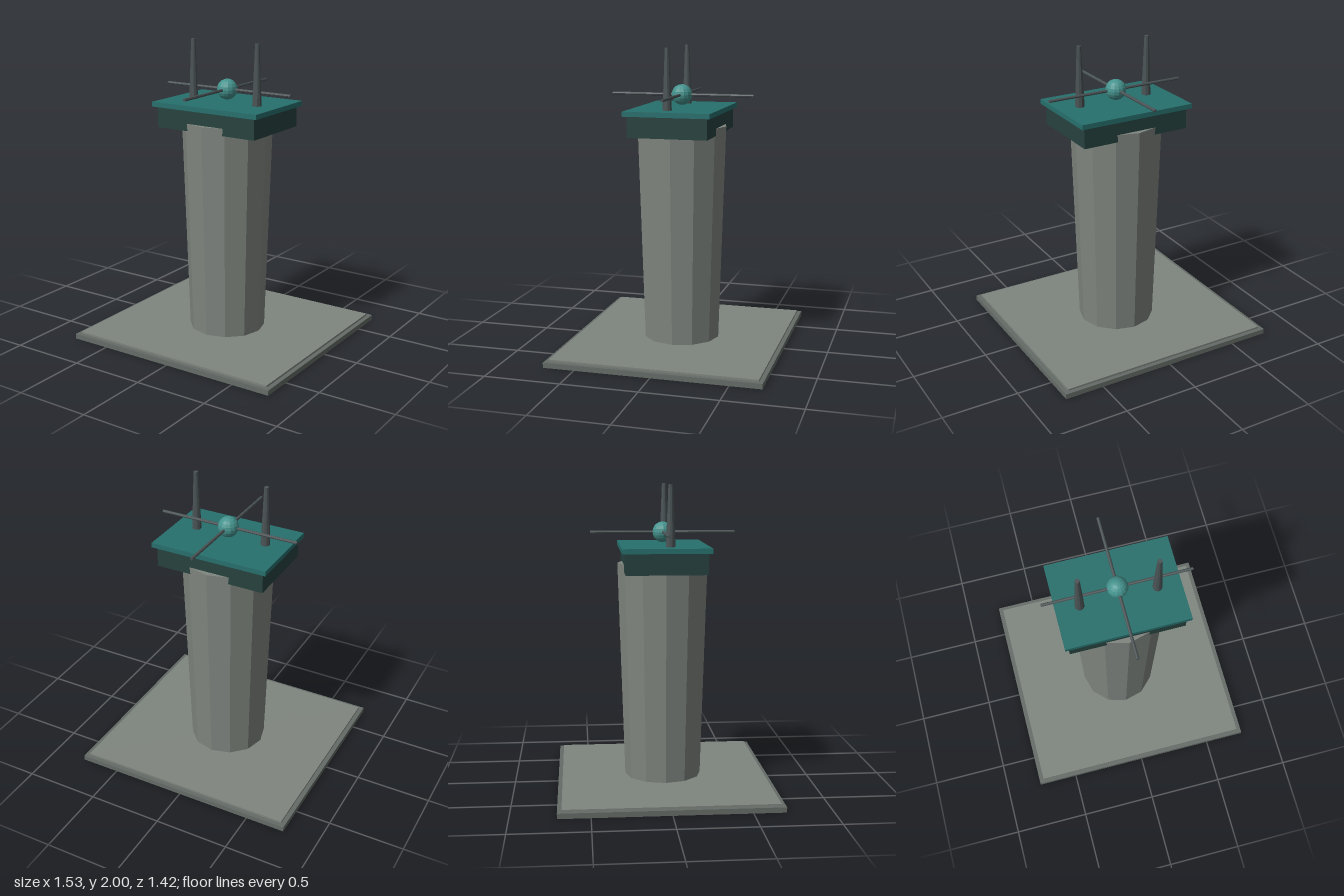
import * as THREE from 'three';

const paint = (color) => new THREE.MeshStandardMaterial({ color, flatShading: true });

export function createModel() {
  const model = new THREE.Group();
  const stone = paint(0x7f857f);
  const darkStone = paint(0x656c67);
  const teal = paint(0x26706d);
  const darkTeal = paint(0x26423f);
  const lightTeal = paint(0x45938e);
  const metal = paint(0x4a5355);

  const add = (name, geometry, material, x, y, z) => {
    const mesh = new THREE.Mesh(geometry, material);
    mesh.name = name;
    mesh.position.set(x, y, z);
    model.add(mesh);
    return mesh;
  };
  // Box standing between two heights
  const slab = (name, width, depth, y0, y1, material) =>
    add(name, new THREE.BoxGeometry(width, y1 - y0, depth), material, 0, (y0 + y1) / 2, 0);

  // Stepped base
  slab('basePlinth', 1.53, 1.416, 0, 0.034, darkStone);
  slab('baseTop', 1.47, 1.36, 0.034, 0.047, stone);

  // Twelve-sided column, flaring upward through the head
  add('column', new THREE.CylinderGeometry(0.3, 0.255, 1.436, 12), stone, 0, 0.765, 0);

  // Head and its roof plate
  slab('head', 0.745, 0.525, 1.435, 1.572, darkTeal);
  slab('roofPlate', 0.8, 0.57, 1.572, 1.604, teal);

  // Pair of tapered masts
  for (const side of [-1, 1]) {
    add(side > 0 ? 'leftMast' : 'rightMast',
      new THREE.CylinderGeometry(0.015, 0.031, 0.4, 10), metal, side * 0.247, 1.8, 0.031);
  }

  // Hub with crossed rods
  const hubY = 1.685;
  add('hub', new THREE.SphereGeometry(0.068, 14, 10), lightTeal, 0, hubY, 0);
  const rod = new THREE.CylinderGeometry(0.01, 0.01, 0.956, 8);
  add('crossRod', rod, metal, 0, hubY, 0).rotation.z = Math.PI / 2;
  add('lengthRod', rod, metal, 0, hubY, 0).rotation.x = Math.PI / 2;

  return model;
}
